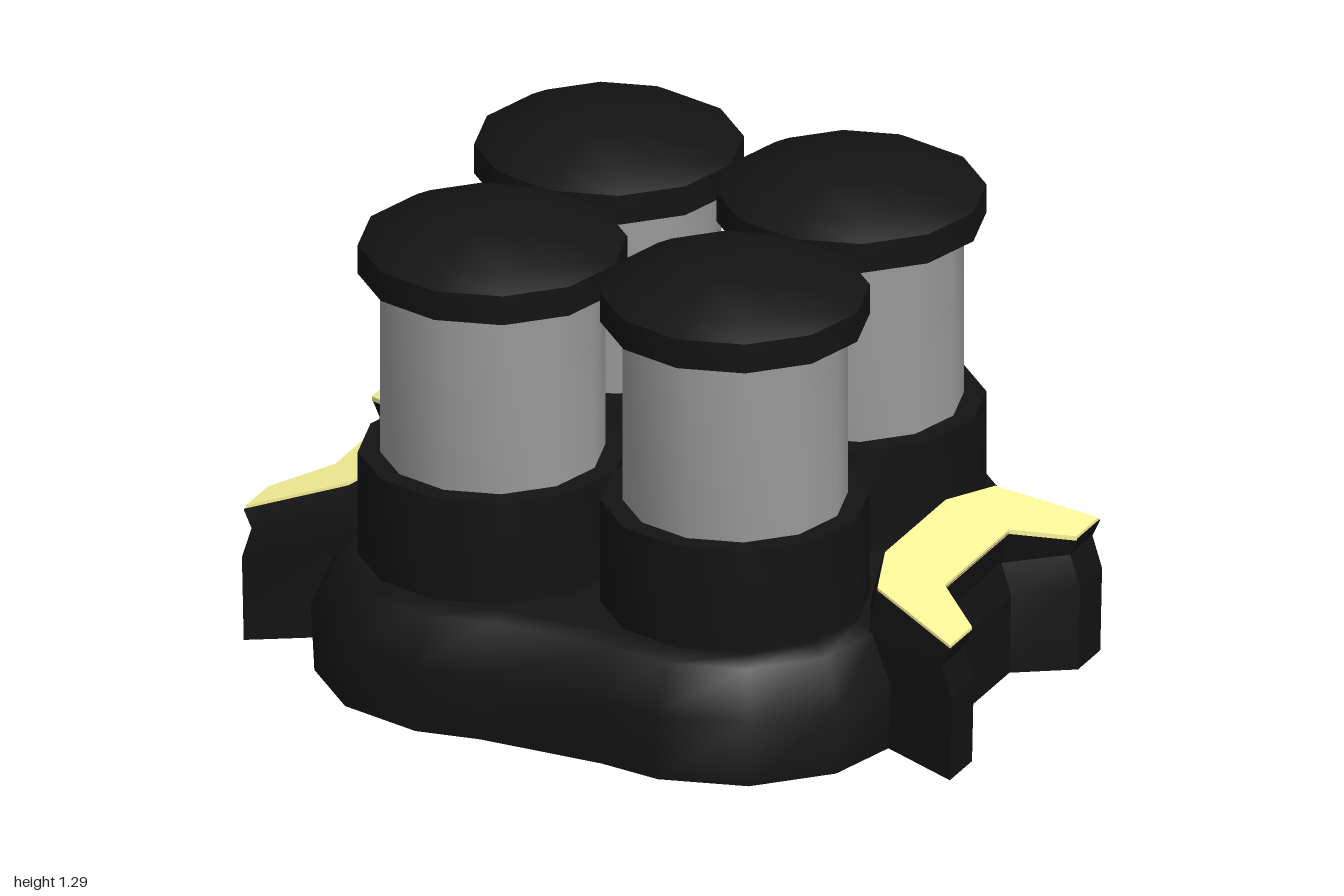
import * as THREE from 'three';
import { toCreasedNormals } from 'three/addons/utils/BufferGeometryUtils.js';

const material = (color) => new THREE.MeshStandardMaterial({ color });
const black = material(0x131313);
const steel = material(0x999999);
const yellow = material(0xfcf498);

// Closed solid through equal-length rings of [x, y, z], listed bottom to top,
// each running counter-clockwise when seen from above.
function loft(rings, crease) {
  const n = rings[0].length;
  const index = [];
  for (let r = 0; r < rings.length - 1; r++) {
    for (let i = 0; i < n; i++) {
      const a = r * n + i, b = r * n + (i + 1) % n;
      index.push(a, b, b + n, a, b + n, a + n);
    }
  }
  const flat = rings[0].map(([x, , z]) => new THREE.Vector2(x, -z));
  const top = (rings.length - 1) * n;
  for (const [a, b, c] of THREE.ShapeUtils.triangulateShape(flat, [])) {
    index.push(a, c, b, top + a, top + b, top + c);
  }
  const geometry = new THREE.BufferGeometry();
  geometry.setAttribute('position', new THREE.Float32BufferAttribute(rings.flat(2), 3));
  geometry.setIndex(index);
  geometry.computeVertexNormals();
  return toCreasedNormals(geometry, crease);
}

// Twelve-sided turned part from [radius, y] pairs, bottom to top.
function turned(name, profile, mat) {
  const points = profile.map(([r, y]) => new THREE.Vector2(r, y));
  const geometry = toCreasedNormals(new THREE.LatheGeometry(points, 12), 0.6);
  const mesh = new THREE.Mesh(geometry, mat);
  mesh.name = name;
  return mesh;
}

// Base outline: faceted corners of radius r around the four canisters, slightly waisted sides
function baseRing(r, y) {
  const c = 0.34, ring = [];
  for (let k = 0; k < 4; k++) {
    const corner = [[c + r - 0.025, 0.17]];
    for (let i = 0; i <= 3; i++) {
      const a = i * Math.PI / 6;
      corner.push([c + r * Math.cos(a), c + r * Math.sin(a)]);
    }
    corner.push([0.17, c + r - 0.025]);
    const cos = Math.round(Math.cos(k * Math.PI / 2)), sin = Math.round(Math.sin(k * Math.PI / 2));
    for (const [u, v] of corner) ring.push([u * cos - v * sin, y, -(u * sin + v * cos)]);
  }
  return ring;
}

// Canister: collar, metal body and domed cap
function createCanister(name, r, bottom, collarTop, capBottom) {
  const group = new THREE.Group();
  group.name = name;
  const s = r / 0.342;
  group.add(
    turned('collar', [[0, bottom], [r, bottom], [r, collarTop], [0, collarTop]], black),
    turned('metalBody', [[0.286 * s, collarTop - 0.01], [0.286 * s, capBottom + 0.01]], steel),
    turned('cap', [
      [0, capBottom], [r, capBottom], [r, capBottom + 0.08 * s],
      [0.28 * s, capBottom + 0.115 * s], [0.145 * s, capBottom + 0.162 * s],
      [0, capBottom + 0.172 * s],
    ], black),
  );
  return group;
}

// Side bracket: a C-shaped block with a sloping top, pinched below it, and a coloured plate
function createBracket(name) {
  const outline = [
    [0.74, -0.35], [0.995, -0.44], [0.995, -0.31], [0.86, -0.19], [0.86, 0.19],
    [0.995, 0.31], [0.995, 0.44], [0.74, 0.35], [0.68, 0.18], [0.68, -0.18],
  ];
  const slope = (x) => 0.467 - (x - 0.68) * 0.31;
  // inset pulls in the outer side, heel spreads the inner side towards the canisters
  const ring = (height, inset, heel = 0, scale = 1) => outline.map(([px, v]) => {
    const shift = px > 0.8 ? inset : px > 0.7 ? heel / 2 : heel;
    const x = 0.84 + (px - 0.84) * scale - shift;
    return [x, height(x), -v * scale];
  });
  const body = new THREE.Mesh(loft([
    ring((x) => 0.1 * (0.995 - x), 0.005, 0.04),
    ring(() => 0.23, 0, 0.04),
    ring(() => 0.315, 0.027, 0.04),
    ring((x) => slope(x) - 0.008, 0.005),
  ], 0.3), black);
  body.name = 'bracketBody';
  const plate = new THREE.Mesh(loft([
    ring((x) => slope(x) - 0.012, 0.005, 0, 0.985),
    ring(slope, 0.005, 0, 0.985),
  ], 0.3), yellow);
  plate.name = 'bracketPlate';
  const group = new THREE.Group();
  group.name = name;
  group.add(body, plate);
  return group;
}

export function createModel() {
  const model = new THREE.Group();
  model.name = 'canisterCluster';

  // Rounded base
  const base = new THREE.Mesh(loft([
    baseRing(0.452, 0.02), baseRing(0.461, 0.2), baseRing(0.397, 0.32), baseRing(0.35, 0.34),
  ], 0.9), black);
  base.name = 'base';
  model.add(base);

  // Four large canisters around a small one
  for (const [x, side] of [[0.34, 'Left'], [-0.34, 'Right']]) {
    for (const [z, end] of [[0.34, 'front'], [-0.34, 'back']]) {
      const canister = createCanister(`${end}${side}Canister`, 0.342, 0.3, 0.622, 1.117);
      canister.position.set(x, 0, z);
      model.add(canister);
    }
  }
  model.add(createCanister('centreCanister', 0.137, 0.3, 0.6, 0.863));

  // Brackets on both sides
  const left = createBracket('leftBracket');
  const right = createBracket('rightBracket');
  right.rotation.y = Math.PI;
  model.add(left, right);

  return model;
}
